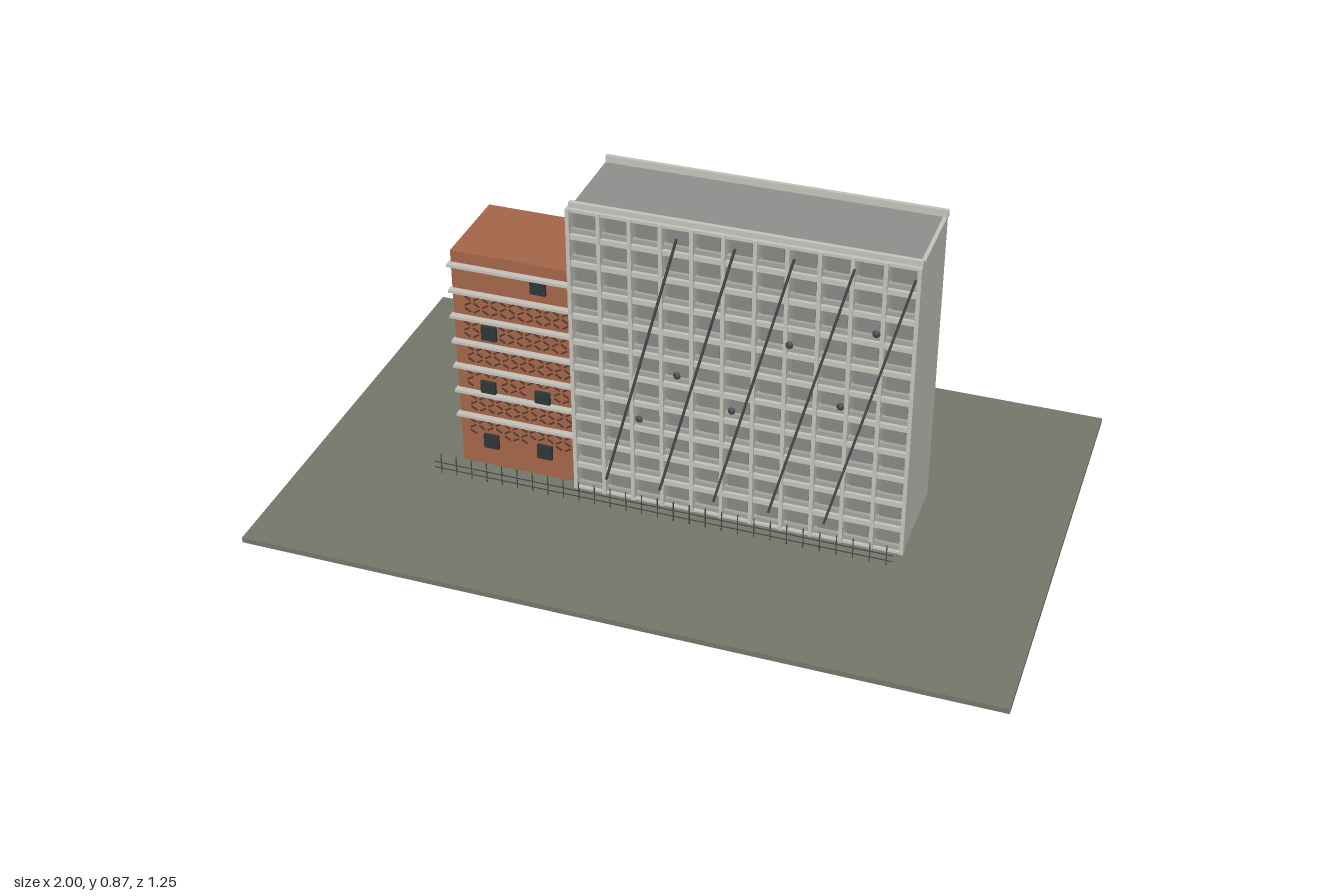
import * as THREE from 'three';

const material = (color, name) => {
  const m = new THREE.MeshStandardMaterial({ color });
  m.name = name;
  return m;
};

export function createModel() {
  const model = new THREE.Group();
  const mats = {
    ground: material(0x73786a, 'ground'),
    wall: material(0x8c8f8c, 'wall'),
    concrete: material(0xc4c2ba, 'concrete'),
    panel: material(0xa3a29c, 'panel'),
    glass: material(0x868886, 'glass'),
    brick: material(0xa4664a, 'brick'),
    darkBrick: material(0x573a2e, 'darkBrick'),
    window: material(0x2e3639, 'window'),
    steel: material(0x45484a, 'steel'),
  };
  const group = (name) => {
    const g = new THREE.Group();
    g.name = name;
    model.add(g);
    return g;
  };
  // Box given by its lower and upper corners
  const box = (parent, name, mat, [x0, y0, z0], [x1, y1, z1]) => {
    const mesh = new THREE.Mesh(new THREE.BoxGeometry(x1 - x0, y1 - y0, z1 - z0), mats[mat]);
    mesh.position.set((x0 + x1) / 2, (y0 + y1) / 2, (z0 + z1) / 2);
    mesh.name = name;
    parent.add(mesh);
    return mesh;
  };
  // Square bar between two points of a plane at depth z
  const bar = (parent, name, mat, [x0, y0], [x1, y1], z, t, depth) => {
    const length = Math.hypot(x1 - x0, y1 - y0);
    const mesh = new THREE.Mesh(new THREE.BoxGeometry(length, t, depth), mats[mat]);
    mesh.position.set((x0 + x1) / 2, (y0 + y1) / 2, z);
    mesh.rotation.z = Math.atan2(y1 - y0, x1 - x0);
    mesh.name = name;
    parent.add(mesh);
  };

  const base = 0.015;
  box(model, 'ground', 'ground', [-1, 0, -0.625], [1, base, 0.625]);

  // Tall block with a pale end wall and two roof parapets
  const tower = group('tower');
  const left = -0.265, right = 0.62, top = 0.855;
  box(tower, 'towerBody', 'wall', [left, base, -0.13], [0.612, top, 0.125]);
  box(tower, 'endWall', 'concrete', [0.612, base, -0.13], [0.622, top, 0.13]);
  box(tower, 'frontParapet', 'concrete', [left, top, 0.125], [0.625, 0.874, 0.137]);
  box(tower, 'rearParapet', 'concrete', [left, top, -0.13], [0.625, 0.874, -0.12]);

  // Facade grid: fins, floor slabs and a sill panel in each cell
  const facade = group('facadeGrid');
  const columns = 11, rows = 11;
  const dx = (right - left) / columns, dy = (0.86 - base) / rows;
  for (let i = 0; i <= columns; i++) {
    const x = left + i * dx;
    box(facade, 'fin', 'concrete', [x - 0.005, base, 0.125], [x + 0.005, 0.86, 0.15]);
  }
  for (let j = 0; j <= rows; j++) {
    const y = base + j * dy;
    box(facade, 'floorSlab', 'concrete',
      [left, Math.max(base, y - 0.008), 0.125], [right, Math.min(0.86, y + 0.006), 0.147]);
  }
  for (let i = 0; i < columns; i++) {
    for (let j = 0; j < rows; j++) {
      const x = left + i * dx, y = base + j * dy;
      box(facade, 'sillPanel', 'panel', [x + 0.005, y + 0.004, 0.125], [x + dx - 0.005, y + 0.018, 0.138]);
      box(facade, 'cellWindow', 'glass', [x + 0.013, y + 0.018, 0.124], [x + dx - 0.013, y + dy - 0.014, 0.128]);
    }
  }

  // Slanted rods with round knots across the facade
  const rods = group('slantedRods');
  for (let i = 0; i < 5; i++) {
    const x = -0.176 + i * 0.148;
    bar(rods, 'rod', 'steel', [x, 0.07], [x + 0.197, 0.832], 0.155, 0.006, 0.007);
  }
  const knot = new THREE.SphereGeometry(0.01, 12, 8);
  for (const [x, y] of [[0.02, 0.435], [0.31, 0.587], [0.525, 0.663], [-0.083, 0.28], [0.165, 0.36], [0.445, 0.435]]) {
    const mesh = new THREE.Mesh(knot, mats.steel);
    mesh.position.set(x, y, 0.152);
    mesh.scale.z = 0.6;
    mesh.name = 'knot';
    rods.add(mesh);
  }

  // Lower brick block with projecting floor bands
  const annex = group('brickAnnex');
  box(annex, 'brickBody', 'brick', [-0.6, base, -0.13], [left, 0.667, 0.122]);
  for (let i = 0; i < 7; i++) {
    const y = 0.17 + i * 0.0767;
    box(annex, 'floorBand', 'concrete', [-0.605, y - 0.004, 0.12], [-0.27, y + 0.004, 0.14]);
  }
  const windows = [[-0.36, 0.605], [-0.503, 0.438], [-0.513, 0.265], [-0.36, 0.265], [-0.513, 0.095], [-0.36, 0.095]];
  for (const [x, y] of windows) {
    box(annex, 'brickWindow', 'window', [x - 0.021, y - 0.021, 0.118], [x + 0.021, y + 0.021, 0.131]);
  }

  // Zigzag brick pattern, left out around the windows
  const pattern = group('brickPattern');
  for (let row = 0; row < 6; row++) {
    const y0 = 0.132 + row * 0.0767;
    for (let line = -1; line <= 1; line++) {
      for (let i = 0; i < 12; i++) {
        const x = -0.565 + i * 0.0245 + (row % 2) * 0.006, y = y0 + line * 0.018;
        if (windows.some(([a, b]) => Math.abs(a - x) < 0.036 && Math.abs(b - y) < 0.03)) continue;
        const rise = (i + line) % 2 === 0 ? 0.005 : -0.005;
        bar(pattern, 'patternBrick', 'darkBrick', [x - 0.008, y - rise], [x + 0.008, y + rise], 0.123, 0.004, 0.005);
      }
    }
  }

  // Thin fence in front
  const fence = group('fence');
  for (const y of [0.03, 0.048]) {
    box(fence, 'fenceRail', 'steel', [-0.65, y - 0.0012, 0.199], [0.61, y + 0.0012, 0.201]);
  }
  for (let i = 0; i <= 28; i++) {
    const x = -0.63 + i * 0.0437;
    box(fence, 'fencePost', 'steel', [x - 0.0012, base, 0.199], [x + 0.0012, 0.076, 0.201]);
  }
  return model;
}
